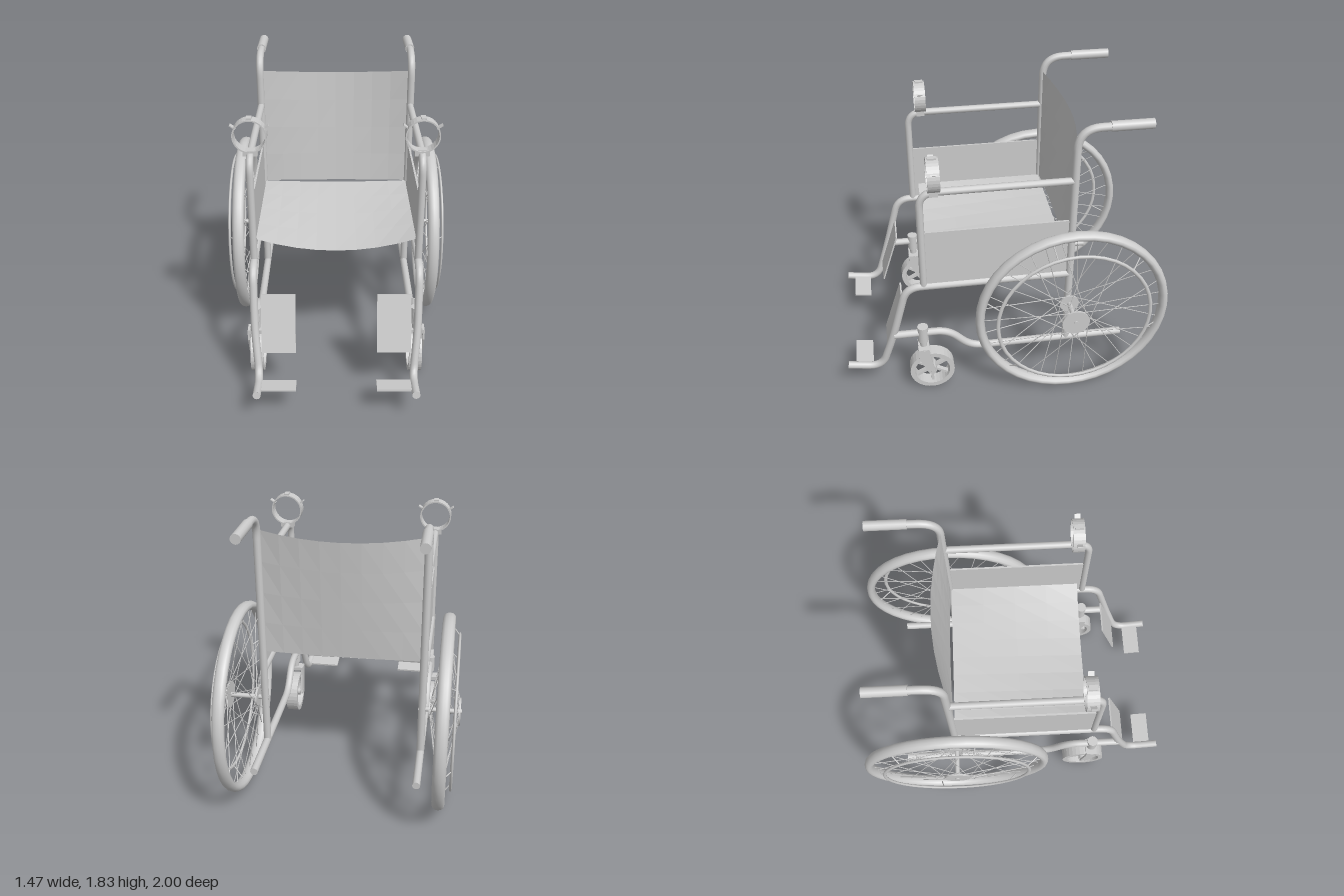
import * as THREE from 'three';

const grey = new THREE.MeshStandardMaterial({ color: 0xcccccc });
const sheet = new THREE.MeshStandardMaterial({ color: 0xcccccc, side: THREE.DoubleSide, flatShading: true });
const V = (x, y, z) => new THREE.Vector3(x, y, z);

function add(parent, name, geo, x = 0, y = 0, z = 0, mat = grey) {
  const m = new THREE.Mesh(geo, mat);
  m.name = name;
  m.position.set(x, y, z);
  parent.add(m);
  return m;
}

// Straight rod between two points
function rod(parent, name, a, b, r, sides = 12) {
  const d = b.clone().sub(a);
  const m = add(parent, name, new THREE.CylinderGeometry(r, r, d.length(), sides));
  m.position.copy(a).add(b).multiplyScalar(0.5);
  m.quaternion.setFromUnitVectors(V(0, 1, 0), d.normalize());
  return m;
}

// Bent tube: straight runs joined by rounded corners, with closed ends
function pipe(parent, name, pts, r, bend) {
  const path = new THREE.CurvePath();
  let from = pts[0];
  for (let i = 1; i < pts.length - 1; i++) {
    const p = pts[i];
    const inDir = pts[i - 1].clone().sub(p), outDir = pts[i + 1].clone().sub(p);
    const k = Math.min(bend, inDir.length() * 0.45, outDir.length() * 0.45);
    const a = p.clone().addScaledVector(inDir.normalize(), k);
    const b = p.clone().addScaledVector(outDir.normalize(), k);
    path.add(new THREE.LineCurve3(from, a));
    path.add(new THREE.QuadraticBezierCurve3(a, p, b));
    from = b;
  }
  path.add(new THREE.LineCurve3(from, pts[pts.length - 1]));
  add(parent, name, new THREE.TubeGeometry(path, 80, r, 12));
  for (const t of [0, 1]) {
    const dir = path.getTangent(t).multiplyScalar(t ? 1 : -1);
    const cap = add(parent, name + 'Cap', new THREE.CircleGeometry(r, 12));
    cap.position.copy(path.getPoint(t));
    cap.quaternion.setFromUnitVectors(V(0, 0, 1), dir);
  }
}

// Cloth panel: a grid whose corners are placed by a rule of u, v in 0..1
function cloth(parent, name, rule) {
  const g = new THREE.PlaneGeometry(1, 1, 8, 4);
  const p = g.attributes.position, uv = g.attributes.uv;
  for (let i = 0; i < p.count; i++) p.setXYZ(i, ...rule(uv.getX(i) * 2 - 1, uv.getY(i)));
  g.computeVertexNormals();
  add(parent, name, g, 0, 0, 0, sheet);
}

// Flat ring band with thickness, axis along z
function band(outer, inner, width) {
  const s = new THREE.Shape().absarc(0, 0, outer, 0, Math.PI * 2);
  s.holes.push(new THREE.Path().absarc(0, 0, inner, 0, Math.PI * 2, true));
  return new THREE.ExtrudeGeometry(s, { depth: width, bevelEnabled: false, curveSegments: 16 }).translate(0, 0, -width / 2);
}

function rearWheel(s) {
  const g = new THREE.Group();
  g.name = 'rearWheel';
  g.position.set(0, 0.605, -0.4);
  const tire = add(g, 'tire', new THREE.TorusGeometry(0.573, 0.028, 12, 40), s * 0.627);
  tire.rotation.y = Math.PI / 2;
  tire.scale.z = 1.35;
  const rim = add(g, 'handRim', new THREE.TorusGeometry(0.472, 0.012, 8, 40), s * 0.695);
  rim.rotation.y = Math.PI / 2;
  rim.scale.z = 0.7;
  rod(g, 'axle', V(s * 0.47, 0, 0), V(s * 0.735, 0, 0), 0.015);
  rod(g, 'outerHub', V(s * 0.715, 0, 0), V(s * 0.728, 0, 0), 0.085, 20);
  rod(g, 'innerHub', V(s * 0.535, 0, 0), V(s * 0.548, 0, 0), 0.06, 20);
  // Crossed spokes, alternating between the two hub flanges
  const N = 36;
  for (let i = 0; i < N; i++) {
    const outer = i % 2 === 0;
    const a = (i / N) * Math.PI * 2;
    const b = a + (i % 4 < 2 ? 1 : -1) * 1.1;
    const h = outer ? 0.08 : 0.055;
    rod(g, 'spoke', V(s * (outer ? 0.72 : 0.542), h * Math.sin(b), h * Math.cos(b)),
      V(s * 0.627, 0.55 * Math.sin(a), 0.55 * Math.cos(a)), 0.0028, 5);
  }
  // Short brackets tying the hand rim to the wheel
  for (let i = 0; i < 6; i++) {
    const a = (i / 6) * Math.PI * 2 + 0.26;
    const c = Math.cos(a), n = Math.sin(a);
    rod(g, 'rimBracket', V(s * 0.695, 0.472 * n, 0.472 * c), V(s * 0.635, 0.55 * n, 0.55 * c), 0.004, 6);
  }
  return g;
}

function caster(s) {
  const g = new THREE.Group();
  g.name = 'caster';
  g.position.set(s * 0.495, 0.148, 0.47);
  add(g, 'casterTire', band(0.142, 0.112, 0.08)).rotation.y = Math.PI / 2;
  rod(g, 'casterHub', V(-0.04, 0, 0), V(0.04, 0, 0), 0.028);
  rod(g, 'casterAxle', V(-0.058, 0, 0), V(0.058, 0, 0), 0.012);
  for (let i = 0; i < 6; i++) {
    const a = (i / 6) * Math.PI * 2;
    const m = add(g, 'casterSpoke', new THREE.BoxGeometry(0.03, 0.1, 0.016), 0, 0.07 * Math.cos(a), 0.07 * Math.sin(a));
    m.rotation.x = a;
  }
  // Fork blades, crown and swivel stem
  const blade = new THREE.Shape([[-0.022, -0.01], [0, -0.022], [0.022, -0.01], [0.082, 0.12], [0.08, 0.185], [0.012, 0.185], [0.008, 0.13]]
    .map(([z, y]) => new THREE.Vector2(-z, y)));
  for (const x of [-0.056, 0.044]) {
    const geo = new THREE.ExtrudeGeometry(blade, { depth: 0.012, bevelEnabled: false }).rotateY(Math.PI / 2);
    add(g, 'forkBlade', geo, x);
  }
  add(g, 'forkCrown', new THREE.BoxGeometry(0.11, 0.025, 0.07), 0, 0.178, 0.046);
  rod(g, 'stem', V(0, 0.18, 0.046), V(0, 0.27, 0.046), 0.022);
  rod(g, 'stemHousing', V(0, 0.23, 0.046), V(0, 0.342, 0.046), 0.034, 16);
  return g;
}

function cupHolder(s) {
  const g = new THREE.Group();
  g.name = 'ringHolder';
  g.position.set(s * 0.492, 1.583, 0.41);
  add(g, 'strapRing', band(0.1, 0.092, 0.07));
  add(g, 'clampBase', new THREE.BoxGeometry(0.085, 0.035, 0.05), 0, -0.105, 0);
  add(g, 'topBuckle', new THREE.BoxGeometry(0.03, 0.012, 0.05), 0, 0.102, 0);
  for (const k of [-1, 1]) {
    const tab = add(g, 'strapTab', new THREE.BoxGeometry(0.04, 0.006, 0.035), k * 0.095, 0.05, 0);
    tab.rotation.z = k * 0.6;
  }
  return g;
}

function sideFrame(s) {
  const g = new THREE.Group();
  g.name = s > 0 ? 'leftSide' : 'rightSide';
  const x = s * 0.493;
  pipe(g, 'backPost', [V(x, 0.29, -0.4), V(x, 1.8, -0.4), V(x, 1.805, -0.8)], 0.024, 0.13);
  rod(g, 'handGrip', V(x, 1.804, -0.58), V(x, 1.804, -0.825), 0.03, 14);
  pipe(g, 'armRest', [V(x, 0.81, 0.493), V(x, 1.47, 0.493), V(x, 1.47, -0.4)], 0.022, 0.1);
  pipe(g, 'seatRailAndLeg', [V(x, 0.808, -0.4), V(x, 0.808, 0.6), V(s * 0.487, 0.44, 0.697),
    V(s * 0.463, 0.165, 0.785), V(s * 0.463, 0.2, 1.0)], 0.024, 0.09);
  pipe(g, 'lowerRail', [V(x, 0.44, 0.695), V(x, 0.44, 0.36), V(x, 0.29, 0.215), V(x, 0.29, -0.76)], 0.024, 0.08);
  add(g, 'sidePanel', new THREE.BoxGeometry(0.012, 0.4, 0.88), x, 1.0, 0.045);
  // Foot plate and calf pad hang inward from the leg tube
  const plate = add(g, 'footPlate', new THREE.BoxGeometry(0.225, 0.012, 0.11), s * 0.35, 0.187, 0.895);
  plate.rotation.x = -0.13;
  const pad = add(g, 'calfPad', new THREE.BoxGeometry(0.205, 0.36, 0.01), s * 0.346, 0.483, 0.685);
  pad.rotation.x = -0.31;
  g.add(rearWheel(s), caster(s), cupHolder(s));
  return g;
}

export function createModel() {
  const model = new THREE.Group();
  model.name = 'wheelchair';
  model.add(sideFrame(1), sideFrame(-1));
  // Sling seat sags most at its front edge
  cloth(model, 'seat', (u, v) => [u * 0.48, 0.93 - (1 - u * u) * (0.08 - 0.07 * v), 0.45 - 0.84 * v]);
  // Back sling bows rearward toward its top
  cloth(model, 'backRest', (u, v) => {
    const sag = 1 - u * u;
    return [u * 0.48, 0.93 + v * (0.78 - 0.03 * sag), -0.395 - sag * (0.012 + 0.058 * v)];
  });
  return model;
}
